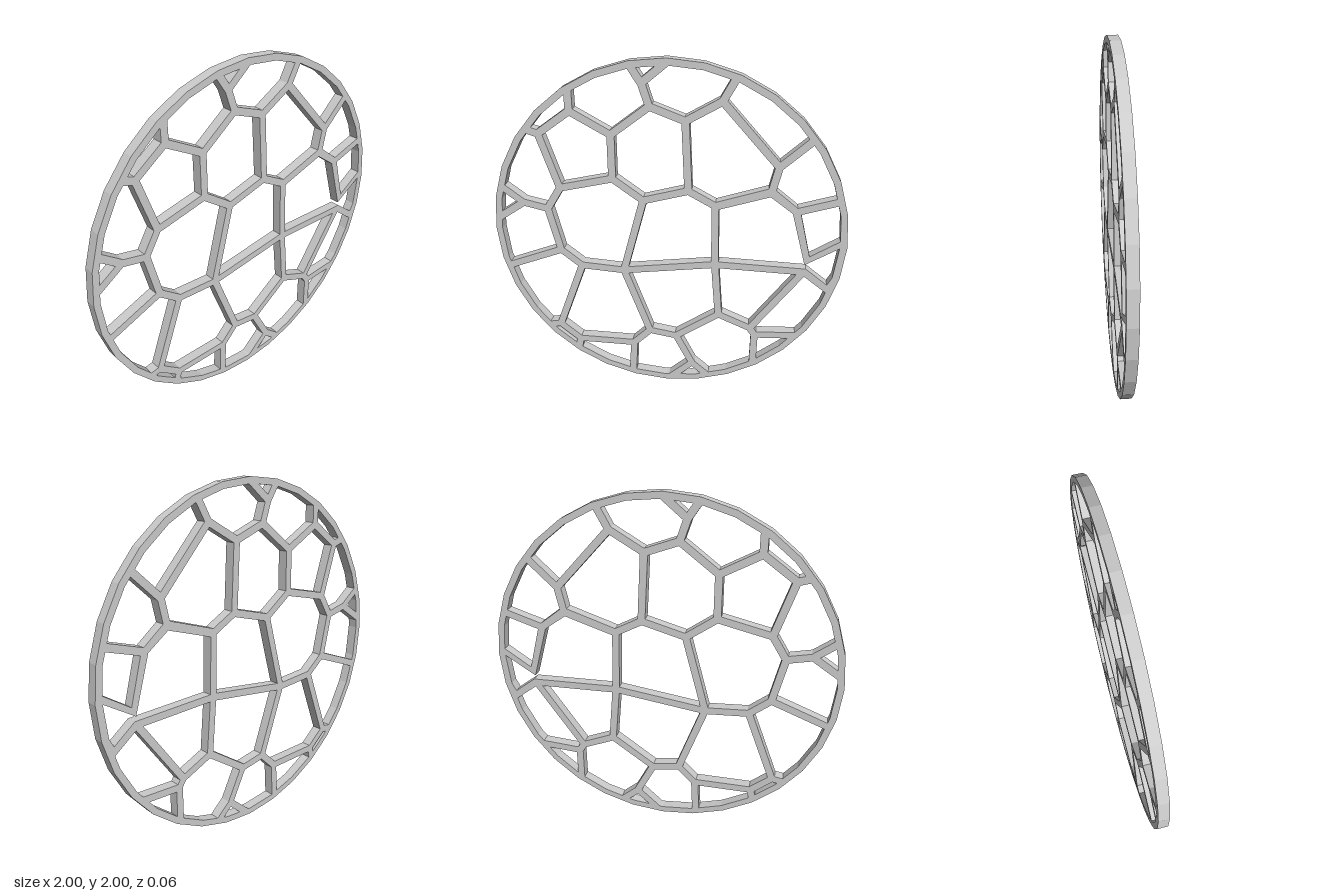
import * as THREE from 'three';

const RIM = 1, RIM_INNER = 0.963, HALF_BAR = 0.021, DEPTH = 0.06, SIDES = 32;

// Joints of the lattice; names ending in a digit lie on the rim
const P = {
  a1: [-0.19, 1.96], a2: [-0.01, 1.97], b: [-0.13, 1.87], c: [-0.09, 1.75], d: [-0.30, 1.59],
  e: [-0.52, 1.71], e1: [-0.52, 1.83], f: [-0.70, 1.58], f1: [-0.77, 1.60], g: [-0.60, 1.27],
  h: [-0.30, 1.34], i: [-0.13, 1.22], j: [0.12, 1.29], k: [0.10, 1.68], l: [0.29, 1.79],
  l1: [0.35, 1.90], m: [0.60, 1.45], m1: [0.76, 1.60], n: [0.57, 1.31], o: [0.71, 1.20],
  o1: [0.93, 1.27], p: [0.79, 0.90], p1: [0.97, 1.02], q: [0.27, 1.21], r: [0.28, 0.845],
  s: [0.78, 0.835], s1: [0.92, 0.73], t: [0.31, 0.51], u: [0.50, 0.43], v: [0.53, 0.385],
  v1: [0.76, 0.40], v2: [0.53, 0.19], w: [0.06, 0.335], x: [0.16, 0.14], x1: [0.05, 0.04],
  x2: [0.24, 0.07], y: [-0.10, 0.36], z: [-0.20, 0.26], z1: [-0.21, 0.05], A: [-0.54, 0.26],
  A1: [-0.55, 0.21], B: [-0.66, 0.36], B1: [-0.72, 0.35], C: [-0.50, 0.785], D: [-0.25, 0.77],
  E: [-0.62, 0.88], E1: [-0.93, 0.76], F: [-0.68, 1.14], G: [-0.82, 1.17], G1: [-0.94, 1.26],
  G2: [-0.97, 1.07],
};

// Openings bounded by bars only, counter-clockwise
const innerCells = ['d h i j k c', 'f g h d e', 'g F E C D i h', 'i D r q j', 'k j q n m l',
  'C B A z y D', 'D y w t r', 'r t u s'];

// Openings closed by the rim: bars from one rim point to the next
const rimCells = ['e1 e d c b a1', 'a1 b a2', 'a2 b c k l l1', 'l1 l m m1', 'm1 m n o o1',
  'o1 o p p1', 's1 s u v v1', 'v1 v v2', 'v2 v u t w x x2', 'x2 x x1', 'x1 x w y z z1',
  'z1 z A A1', 'A1 A B B1', 'B1 B C E E1', 'E1 E F G G2', 'G2 G G1', 'G1 G F g f f1', 'f1 f e e1'];

// Opening that runs through the gap between two bar ends
const gapCell = [[0.29, 1.19], [0.565, 1.28], [0.69, 1.19], [0.78, 0.88], [0.96, 0.995],
  [0.94, 0.81], [0.915, 0.76], [0.79, 0.855], [0.30, 0.865]];

function ring(radius) {
  return Array.from({ length: SIDES }, (_, i) => {
    const t = (i / SIDES) * Math.PI * 2;
    return new THREE.Vector2(radius * Math.cos(t), 1 + radius * Math.sin(t));
  });
}

// Keep the part of a convex polygon left of line a-b, half a bar away from it
function clip(poly, a, b) {
  const len = Math.hypot(b[0] - a[0], b[1] - a[1]);
  const dist = (v) =>
    ((b[0] - a[0]) * (v.y - a[1]) - (b[1] - a[1]) * (v.x - a[0])) / len - HALF_BAR;
  const out = [];
  poly.forEach((v, i) => {
    const w = poly[(i + 1) % poly.length], dv = dist(v), dw = dist(w);
    if (dv >= 0) out.push(v);
    if ((dv >= 0) !== (dw >= 0)) out.push(v.clone().lerp(w, dv / (dv - dw)));
  });
  return out;
}

function cellOutline(names, closed) {
  const pts = names.split(' ').map((name) => P[name]);
  if (closed) pts.push(pts[0]);
  let poly = ring(RIM_INNER);
  for (let i = 0; i + 1 < pts.length; i++) poly = clip(poly, pts[i], pts[i + 1]);
  return poly;
}

export function createModel() {
  const group = new THREE.Group();
  group.name = 'latticeDisc';

  // Faceted disc with every cell cut out
  const disc = new THREE.Shape(ring(RIM));
  const holes = [
    ...innerCells.map((c) => cellOutline(c, true)),
    ...rimCells.map((c) => cellOutline(c, false)),
    gapCell.map(([x, y]) => new THREE.Vector2(x, y)),
  ];
  for (const hole of holes) if (hole.length > 2) disc.holes.push(new THREE.Path(hole));

  const geometry = new THREE.ExtrudeGeometry(disc, { depth: DEPTH, bevelEnabled: false });
  geometry.translate(0, 0, -DEPTH / 2);
  const mesh = new THREE.Mesh(
    geometry,
    new THREE.MeshStandardMaterial({ color: 0xcccccc, flatShading: true }),
  );
  mesh.name = 'rimAndLattice';
  group.add(mesh);
  return group;
}
